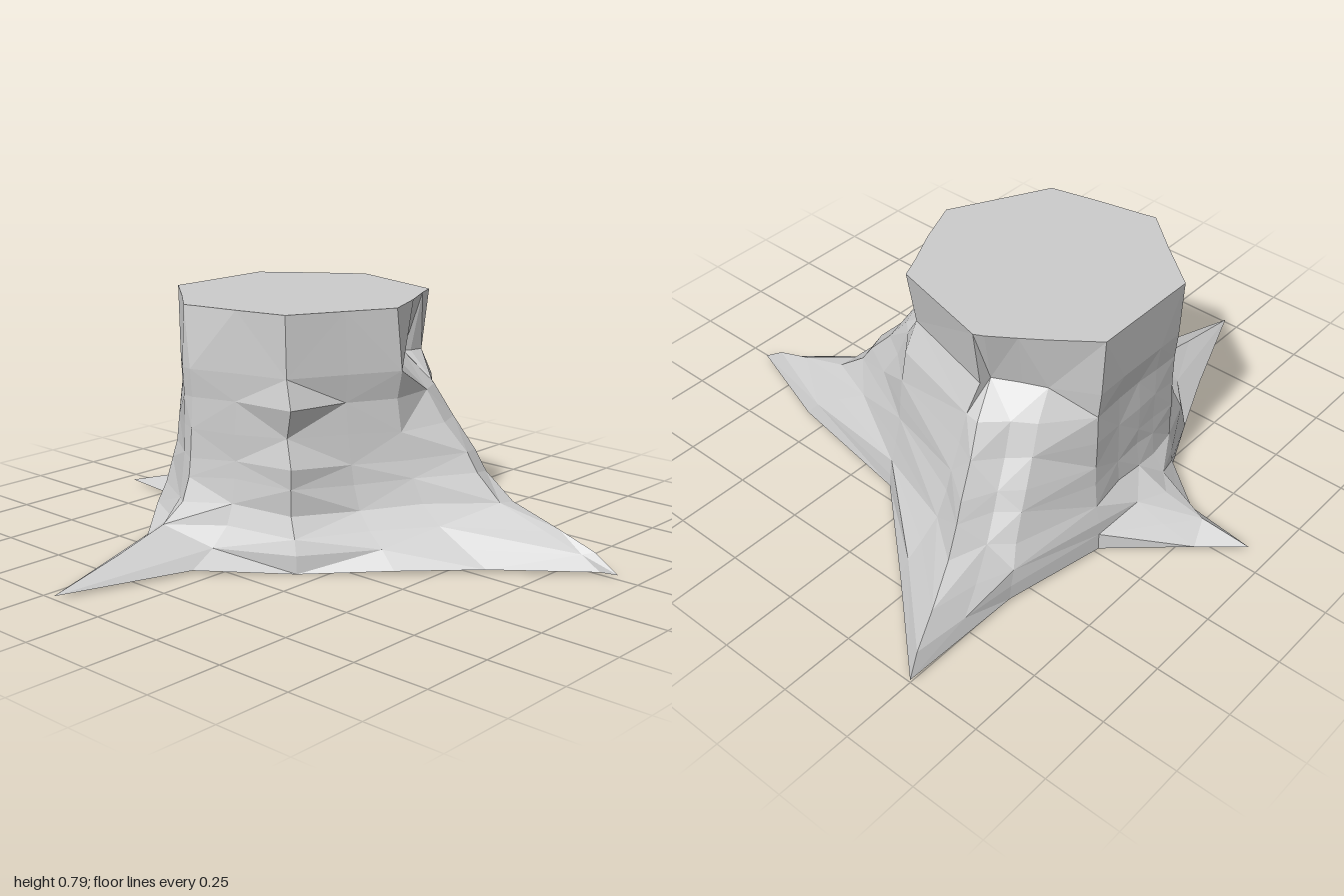
import * as THREE from 'three';

// Ring heights from the ground to the cut top
const LEVELS = [0.01, 0.06, 0.11, 0.17, 0.25, 0.31, 0.40, 0.50, 0.59, 0.785];

// Narrowing of the trunk's right half at each ring
const WAIST = [1, 1, 1, 0.97, 0.96, 0.96, 0.96, 0.96, 0.98, 1];

// How far each ring reaches from the trunk outline (0) to the ground outline (1)
const FLARE = {
  tall: [1, 0.90, 0.72, 0.49, 0.36, 0.30, 0.18, 0.08, -0.09, 0],
  steep: [1, 0.96, 0.89, 0.76, 0.58, 0.46, 0.30, 0.15, -0.08, 0],
  back: [1, 0.95, 0.85, 0.70, 0.50, 0.42, 0.32, 0.15, -0.30, 0],
  mid: [1, 0.76, 0.50, 0.30, 0.19, 0.13, 0.06, 0.01, 0.06, 0],
  low: [1, 0.58, 0.26, 0.13, 0.08, 0.06, 0.05, 0.04, 0.05, 0],
  side: [1, 0.58, 0.24, 0.02, 0, 0, 0, -0.02, 0, 0],
  notch: [1, 0.95, 0.80, 0.45, 0.45, 0.50, 0.10, 0.50, 0.10, 0],
  valley: [1, 0.95, 0.80, 0.60, 0.45, 0.30, 0.20, 0.10, 0.10, 0],
};

// Columns around the stump: flare, top x, top z, ground x, ground z
const COLUMNS = [
  ['tall', -0.27, -0.415, -0.50, -1.00], // back root
  ['tall', -0.24, -0.43, -0.20, -0.73],
  ['back', 0.11, -0.34, 0.11, -0.46],
  ['tall', 0.14, -0.27, 0.58, -0.38],
  ['tall', 0.155, -0.24, 0.925, -0.26], // left root
  ['tall', 0.20, -0.15, 0.87, -0.245],
  ['mid', 0.26, 0.00, 0.60, -0.03],
  ['mid', 0.18, 0.15, 0.40, 0.17],
  ['notch', 0.09, 0.32, 0.18, 0.37],
  ['low', -0.08, 0.36, -0.06, 0.58],
  ['low', -0.23, 0.39, -0.20, 1.00], // front root
  ['low', -0.27, 0.40, -0.34, 0.64],
  ['valley', -0.40, 0.29, -0.44, 0.41],
  ['valley', -0.55, 0.17, -0.54, 0.19],
  ['side', -0.55, 0.08, -0.69, 0.10],
  ['side', -0.55, 0.00, -0.93, 0.07], // right root
  ['side', -0.55, -0.10, -0.80, -0.04],
  ['valley', -0.55, -0.21, -0.58, -0.24],
  ['steep', -0.42, -0.31, -0.51, -0.58],
  ['tall', -0.35, -0.36, -0.505, -0.80],
];

// Ring point with a slight bark unevenness between ground and ledge
function point(col, level) {
  const [kind, tx, tz, gx, gz] = COLUMNS[col];
  const f = FLARE[kind][level];
  const bark = level > 0 && level < 7;
  const rough = bark ? 1 + 0.005 * Math.sin(col * 2.4 + level * 1.7) : 1;
  const lift = bark ? 0.006 * Math.sin(col * 1.9 + level) : 0;
  const y = kind === 'notch' && level === 0 ? 0 : LEVELS[level] + lift;
  const dx = (tx + (gx - tx) * f + 0.12) * rough;
  return [
    -0.12 + (dx < 0 ? dx * WAIST[level] : dx),
    y,
    (tz + (gz - tz) * f) * rough,
  ];
}

function flatMesh(name, positions) {
  const geometry = new THREE.BufferGeometry();
  geometry.setAttribute('position', new THREE.Float32BufferAttribute(positions, 3));
  geometry.computeVertexNormals();
  const mesh = new THREE.Mesh(
    geometry,
    new THREE.MeshStandardMaterial({ color: 0xcccccc, flatShading: true })
  );
  mesh.name = name;
  return mesh;
}

// Bark and roots: the rings joined by quads
function makeBark() {
  const out = [];
  COLUMNS.forEach((_, c) => {
    const n = (c + 1) % COLUMNS.length;
    for (let i = 0; i < LEVELS.length - 1; i++) {
      const a = point(n, i), b = point(c, i), d = point(c, i + 1), e = point(n, i + 1);
      if ((c + i) % 2) out.push(...a, ...b, ...d, ...a, ...d, ...e);
      else out.push(...a, ...b, ...e, ...b, ...d, ...e);
    }
  });
  return flatMesh('barkAndRoots', out);
}

// Closing face: a fan around the trunk axis
function makeCap(name, level, up) {
  const out = [];
  const centre = [-0.12, LEVELS[level], 0];
  COLUMNS.forEach((_, c) => {
    const a = point(c, level), b = point((c + 1) % COLUMNS.length, level);
    if (up) out.push(...centre, ...b, ...a);
    else out.push(...centre, ...a, ...b);
  });
  return flatMesh(name, out);
}

export function createModel() {
  const stump = new THREE.Group();
  stump.name = 'treeStump';
  stump.add(
    makeBark(),
    makeCap('cutTop', LEVELS.length - 1, true),
    makeCap('underside', 0, false)
  );
  return stump;
}
